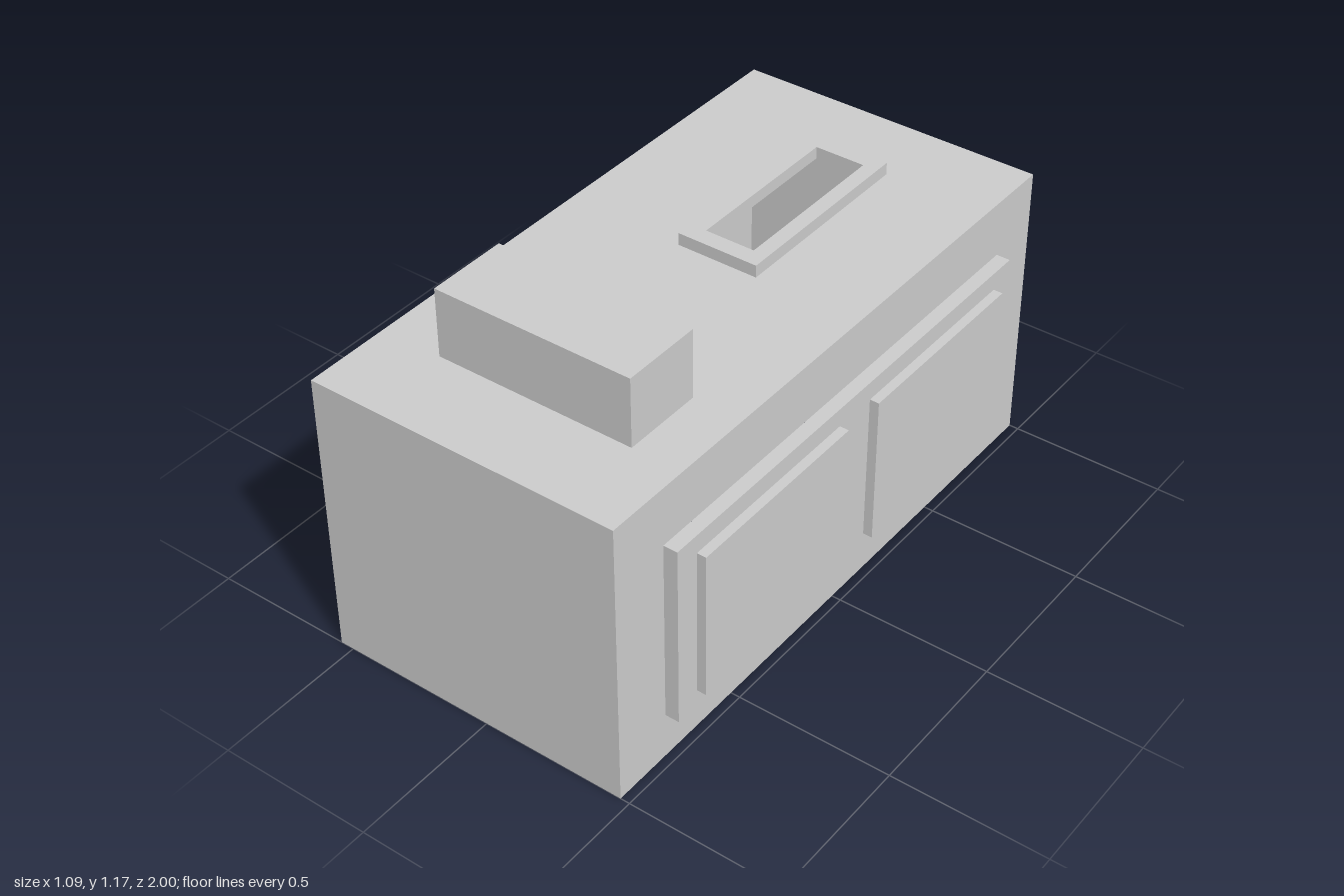
import * as THREE from 'three';

const material = new THREE.MeshStandardMaterial({ color: 0xcccccc, side: THREE.DoubleSide, flatShading: true });

// Main extents of the body
const X0 = -0.545, X1 = 0.47, H = 0.945;

const rect = (x0, x1, y0, y1, Type = THREE.Shape) =>
  new Type([[x0, y0], [x1, y0], [x1, y1], [x0, y1]].map(([x, y]) => new THREE.Vector2(x, y)));

function holed(outer, hole) {
  const shape = rect(...outer);
  shape.holes.push(rect(...hole, THREE.Path));
  return shape;
}

// Box between two corners; open lists sides to leave out (0..5 = +x -x +y -y +z -z)
function box([x0, x1], [y0, y1], [z0, z1], open = []) {
  const g = new THREE.BoxGeometry(x1 - x0, y1 - y0, z1 - z0);
  const index = Array.from(g.index.array).filter((_, i) => !open.includes(Math.floor(i / 6)));
  g.setIndex(index);
  g.clearGroups();
  return g.translate((x0 + x1) / 2, (y0 + y1) / 2, (z0 + z1) / 2);
}

export function createModel() {
  const model = new THREE.Group();
  model.name = 'boxBuilding';
  const add = (name, geometry, parent = model) => {
    const mesh = new THREE.Mesh(geometry, material);
    mesh.name = name;
    parent.add(mesh);
  };

  // Hollow body, open underneath
  const body = new THREE.Group();
  body.name = 'body';
  model.add(body);
  add('outerWalls', box([X0, X1], [0, H], [-1, 1], [0, 2, 3]), body);

  // Roof with a rectangular opening
  const opening = [-0.093, 0.073, 0.14, 0.69];
  add('roof', new THREE.ShapeGeometry(holed([X0, X1, -1, 1], opening))
    .rotateX(-Math.PI / 2).translate(0, H, 0), body);

  // Left wall, open behind the raised panel
  add('leftWall', new THREE.ShapeGeometry(holed([-1, 1, 0, H], [-0.8, 0.82, 0.153, 0.757]))
    .rotateY(Math.PI / 2).translate(X1, 0, 0), body);

  // Raised rim round the roof opening
  add('openingRim', new THREE.ExtrudeGeometry(holed([-0.148, 0.122, 0.083, 0.742], opening),
    { depth: 0.04, bevelEnabled: false }).rotateX(-Math.PI / 2).translate(0, H, 0));

  // Block on the roof near the front
  add('roofBlock', box([-0.343, 0.308], [H, 1.167], [0.457, 0.718]));

  // Side panel with two raised panes
  add('sidePanel', box([X1, 0.515], [0.153, 0.757], [-0.82, 0.8], [1]));
  for (const [name, z] of [['frontPane', [0.065, 0.718]], ['rearPane', [-0.737, -0.083]]])
    add(name, box([X1, 0.545], [0.207, 0.697], z));

  return model;
}
